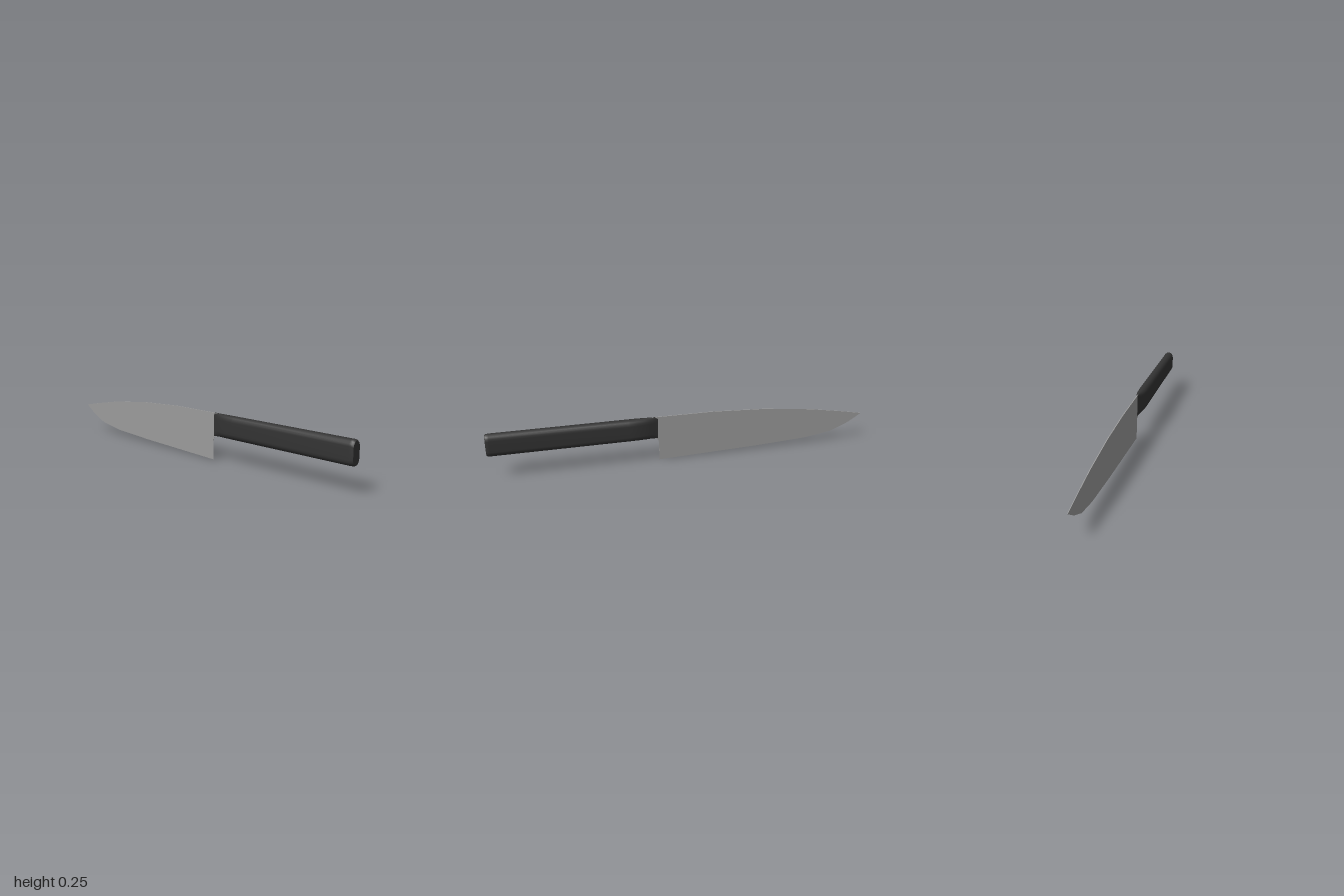
import * as THREE from 'three';

// Skin a list of equal-length rings, ordered from -z to +z, each counter-clockwise seen from +z
function loft(rings, flat) {
  const n = rings[0].length, index = [];
  for (let i = 0; i < rings.length - 1; i++) {
    for (let j = 0; j < n; j++) {
      const k = (j + 1) % n;
      const a = i * n + j, b = i * n + k, c = a + n, d = b + n;
      index.push(a, b, d, a, d, c);
    }
  }
  let geo = new THREE.BufferGeometry();
  geo.setAttribute('position', new THREE.Float32BufferAttribute(rings.flat(2), 3));
  geo.setIndex(index);
  if (flat) geo = geo.toNonIndexed();
  geo.computeVertexNormals();
  return geo;
}

// Upright stadium outline with a given half width, top and bottom
function stadium(z, hw, top, bottom, seg = 8) {
  const pts = [], r = 0.03;
  for (const [from, cy] of [[0, top - r], [Math.PI, bottom + r]]) {
    for (let i = 0; i <= seg; i++) {
      const a = from + (Math.PI * i) / seg;
      pts.push([hw * Math.cos(a), cy + r * Math.sin(a), z]);
    }
  }
  return pts;
}

export function createModel() {
  const steel = new THREE.MeshStandardMaterial({ color: 0x9c9c9c });
  const black = new THREE.MeshStandardMaterial({ color: 0x333333 });
  const group = new THREE.Group();
  const add = (name, geo, mat) => {
    const mesh = new THREE.Mesh(geo, mat);
    mesh.name = name;
    group.add(mesh);
  };

  // Blade: spine z, spine y, edge z, edge y, from the tip to the heel and its notch
  const sections = [
    [-1.0, 0.145, -1.0, 0.143],
    [-0.93, 0.159, -0.93, 0.099],
    [-0.86, 0.172, -0.83, 0.056],
    [-0.7, 0.199, -0.68, 0.033],
    [-0.43, 0.229, -0.4, 0.018],
    [-0.15, 0.243, -0.13, 0.009],
    [0.135, 0.244, 0.135, 0.0],
    [0.135, 0.244, 0.135, 0.098],
    [0.139, 0.244, 0.139, 0.113],
    [0.147, 0.244, 0.147, 0.123],
    [0.17, 0.244, 0.17, 0.128],
  ];
  const half = (y) => 0.0025 * (y / 0.245); // wedge thins toward the cutting edge
  add('blade', loft(sections.map(([sz, sy, ez, ey]) => [
    [half(sy), sy, sz], [-half(sy), sy, sz], [-half(ey), ey, ez], [half(ey), ey, ez],
  ]), true), steel);

  // Handle: stadium section pinched to the blade at the front, softly rounded at the butt
  const stations = [
    [0.14, 0.003, 0.245, 0.122],
    [0.155, 0.006, 0.245, 0.125],
    [0.18, 0.014, 0.245, 0.126],
    [0.21, 0.021, 0.245, 0.126],
    [0.25, 0.026, 0.245, 0.126],
    [0.29, 0.0275, 0.245, 0.126],
    [0.98, 0.0275, 0.245, 0.126],
    [0.992, 0.0265, 0.244, 0.127],
    [1.0, 0.022, 0.24, 0.131],
  ];
  const rings = stations.map((s) => stadium(...s));
  add('handle', loft(rings), black);

  // Flat ends of the handle
  const cap = (ring, flip) => {
    const shape = new THREE.Shape(ring.map(([x, y]) => new THREE.Vector2(flip ? -x : x, y)));
    const geo = new THREE.ShapeGeometry(shape);
    if (flip) geo.rotateY(Math.PI);
    return geo.translate(0, 0, ring[0][2]);
  };
  add('handleButt', cap(rings[rings.length - 1], false), black);
  add('handleNeckFace', cap(rings[0], true), black);

  return group;
}
